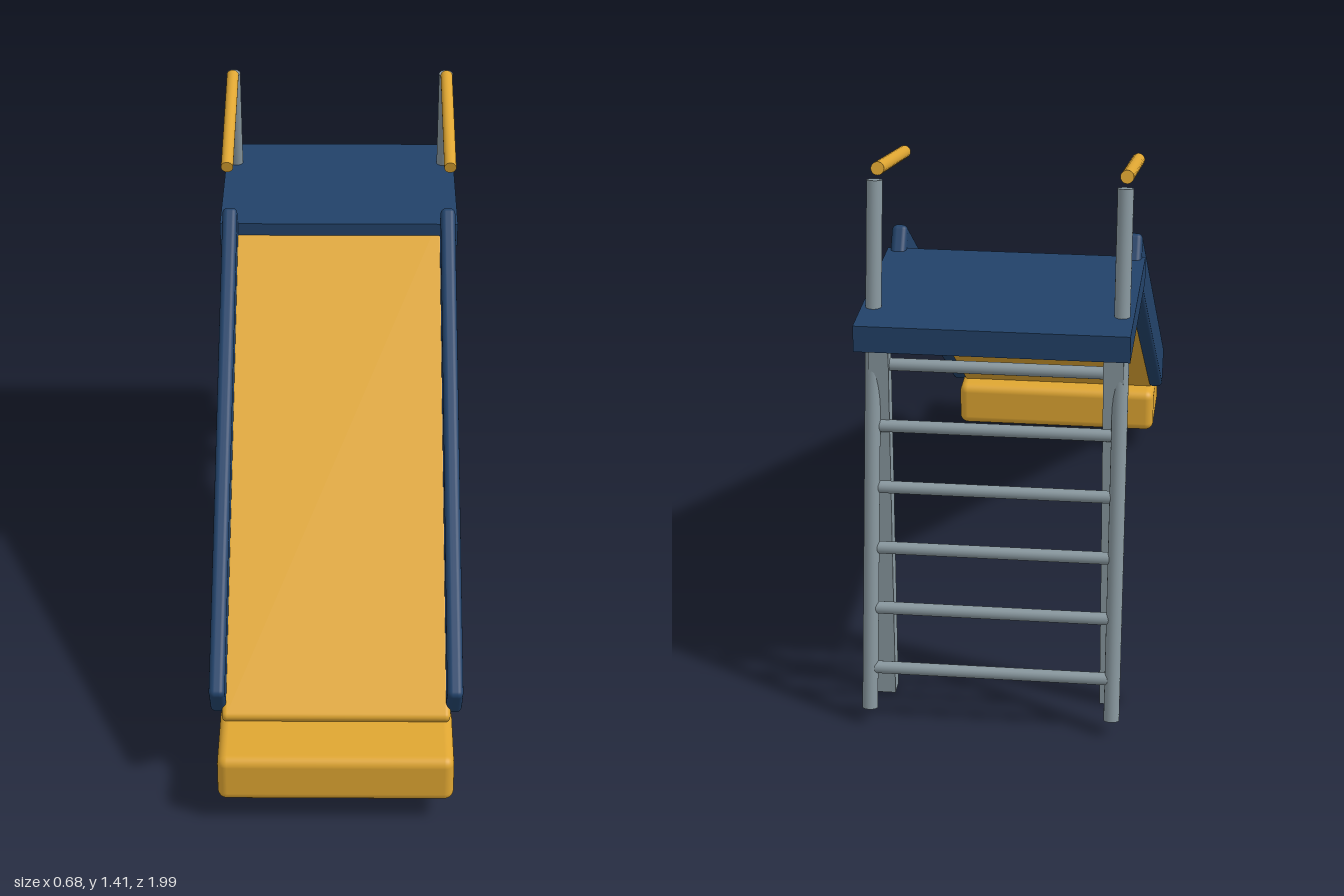
import * as THREE from 'three';
import { RoundedBoxGeometry } from 'three/addons/geometries/RoundedBoxGeometry.js';

export function createModel() {
  const model = new THREE.Group();
  model.name = 'playgroundSlide';

  const material = (name, color) => {
    const m = new THREE.MeshStandardMaterial({ color });
    m.name = name;
    return m;
  };
  const yellow = material('yellow', 0xdfa632);
  const blue = material('blue', 0x224269);
  const grey = material('grey', 0x87969d);

  const add = (name, geometry, mat, parent = model) => {
    const mesh = new THREE.Mesh(geometry, mat);
    mesh.name = name;
    parent.add(mesh);
    return mesh;
  };

  // Round bar running between two points
  const bar = (name, from, to, radius, mat) => {
    const a = new THREE.Vector3(...from);
    const b = new THREE.Vector3(...to);
    const dir = b.clone().sub(a);
    const mesh = add(name, new THREE.CylinderGeometry(radius, radius, dir.length(), 20), mat);
    mesh.position.copy(a).add(b).multiplyScalar(0.5);
    mesh.quaternion.setFromUnitVectors(new THREE.Vector3(0, 1, 0), dir.normalize());
    return mesh;
  };

  // Platform
  add('platform', new THREE.BoxGeometry(0.68, 0.068, 0.555), blue).position.set(0, 1.034, -0.637);

  // Sloped chute: its local z runs down the slide, local y is normal to the bed
  const chute = new THREE.Group();
  chute.name = 'chute';
  chute.position.set(0, 0.665, 0.225);
  chute.rotation.x = Math.atan2(0.824, 1.214);
  model.add(chute);
  add('bed', new RoundedBoxGeometry(0.6, 0.036, 1.52, 4, 0.014), yellow, chute).position.set(0, -0.043, 0.003);

  // Foot block at the end of the slide
  add('footBlock', new RoundedBoxGeometry(0.612, 0.132, 0.252, 4, 0.025), yellow).position.set(0, 0.131, 0.873);

  for (const side of [-1, 1]) {
    const x = side * 0.31;
    add('chuteSide', new RoundedBoxGeometry(0.042, 0.131, 1.467, 4, 0.015), blue, chute).position.x = x;
    add('leg', new THREE.BoxGeometry(0.05, 1.0, 0.049), grey).position.set(side * 0.293, 0.5, -0.805);
    bar('ladderRail', [x, 0.04, -0.976], [x, 1.38, -0.72], 0.02, grey);
    bar('handle', [x, 1.297, -0.246], [x, 1.394, -0.675], 0.017, yellow);
  }

  // Ladder rungs
  for (let i = 0; i < 6; i++) {
    const y = 0.147 + 0.155 * i;
    const z = -0.956 + 0.0315 * i;
    bar('rung', [-0.31, y, z], [0.31, y, z], 0.016, grey);
  }

  return model;
}
